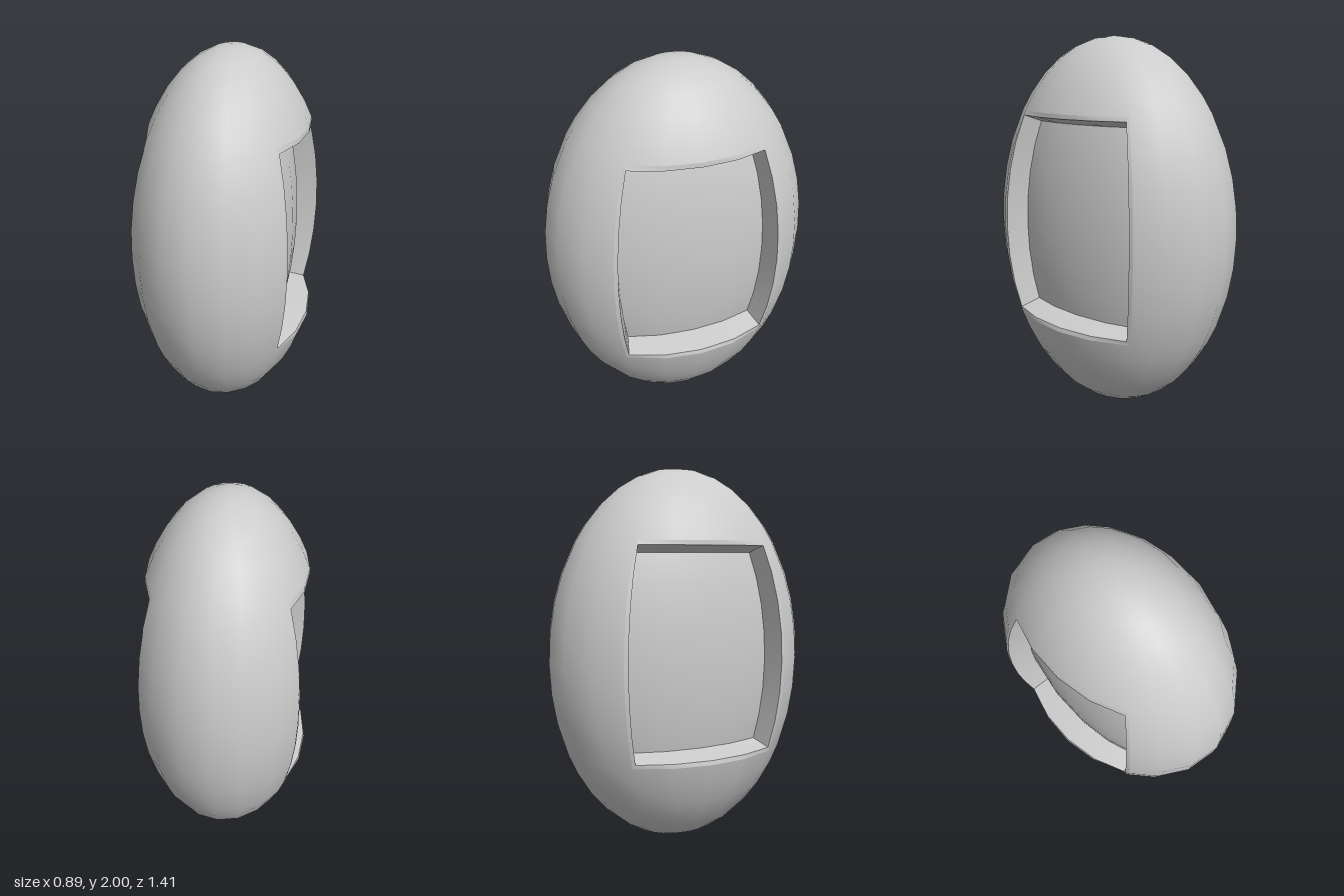
import * as THREE from 'three';

const RADII = [0.51, 1, 0.705];
const material = new THREE.MeshStandardMaterial({ color: 0xcccccc });
const rad = THREE.MathUtils.degToRad;

// Point on the egg: theta down from the top, phi from +x towards +z
function eggPoint(theta, phi, scale = [1, 1, 1]) {
  const t = rad(theta), p = rad(phi);
  return new THREE.Vector3(
    RADII[0] * scale[0] * Math.sin(t) * Math.cos(p),
    1 + RADII[1] * scale[1] * Math.cos(t),
    RADII[2] * scale[2] * Math.sin(t) * Math.sin(p));
}

// Surface through rows of points; skip leaves cells out, normalScale gives smooth egg normals
function gridMesh(name, rows, { skip = () => false, normalScale = null } = {}) {
  const n = rows[0].length, points = rows.flat(), index = [];
  for (let i = 0; i < rows.length - 1; i++) {
    for (let j = 0; j < n - 1; j++) {
      if (skip(i, j)) continue;
      const a = i * n + j, b = a + 1, c = a + n, d = c + 1;
      index.push(a, b, c, b, d, c);
    }
  }
  const geometry = new THREE.BufferGeometry().setFromPoints(points);
  geometry.setIndex(index);
  if (normalScale) {
    const normals = points.flatMap((p) => new THREE.Vector3(
      p.x / (RADII[0] * normalScale[0]) ** 2,
      (p.y - 1) / (RADII[1] * normalScale[1]) ** 2,
      p.z / (RADII[2] * normalScale[2]) ** 2).normalize().toArray());
    geometry.setAttribute('normal', new THREE.Float32BufferAttribute(normals, 3));
  } else {
    geometry.computeVertexNormals();
  }
  const mesh = new THREE.Mesh(geometry, material);
  mesh.name = name;
  return mesh;
}

const steps = (from, to, step) =>
  Array.from({ length: Math.round((to - from) / step) + 1 }, (_, i) => from + i * step);

// Opening limits in degrees, and the slightly wider cut in the outer shell
const TOP = 54, BOTTOM = 117, SIDE = 36;
const widenTheta = (t) => (t === TOP ? 51.5 : t === BOTTOM ? 119 : t);
const widenPhi = (p) => {
  if (Math.abs(p) === SIDE) return Math.sign(p) * 39;
  if (Math.abs(p - 180) === SIDE) return 180 + Math.sign(p - 180) * 39;
  return p;
};

function createShell() {
  const thetas = steps(0, 180, 9), phis = steps(-90, 270, 18);
  const rows = thetas.map((t) => phis.map((p) => eggPoint(widenTheta(t), widenPhi(p))));
  const inOpening = (i, j) => {
    const phi = phis[j] + 9;
    return thetas[i] >= TOP && thetas[i] < BOTTOM &&
      (Math.abs(phi) < SIDE || Math.abs(phi - 180) < SIDE);
  };
  return gridMesh('shell', rows, { skip: inOpening, normalScale: [1, 1, 1] });
}

function createRecess(name) {
  const recess = new THREE.Group();
  recess.name = name;
  const thetas = steps(TOP, BOTTOM, 9), phis = steps(-SIDE, SIDE, 18);
  const lipScale = [0.97, 1.02, 1.02], floorScale = [0.67, 0.96, 0.95];

  // Curved floor
  const floor = thetas.map((t) => phis.map((p) => eggPoint(t, p, floorScale)));
  recess.add(gridMesh('recessFloor', floor, { normalScale: floorScale }));

  // Four edges of the opening, each with a bevelled lip and a wall
  const edges = {
    upper: phis.map((p) => [TOP, p]),
    front: thetas.map((t) => [t, SIDE]),
    lower: phis.map((p) => [BOTTOM, p]).reverse(),
    rear: thetas.map((t) => [t, -SIDE]).reverse(),
  };
  for (const [edge, path] of Object.entries(edges)) {
    const outer = path.map(([t, p]) => eggPoint(widenTheta(t), widenPhi(p)));
    const lip = path.map(([t, p]) => eggPoint(t, p, lipScale));
    const inner = path.map(([t, p]) => eggPoint(t, p, floorScale));
    recess.add(gridMesh(edge + 'Lip', [outer, lip]));
    recess.add(gridMesh(edge + 'Wall', [lip, inner]));
  }
  return recess;
}

export function createModel() {
  const model = new THREE.Group();
  model.name = 'recessedEgg';
  const left = createRecess('leftRecess');
  const right = createRecess('rightRecess');
  right.rotation.y = Math.PI;
  model.add(createShell(), left, right);
  return model;
}
